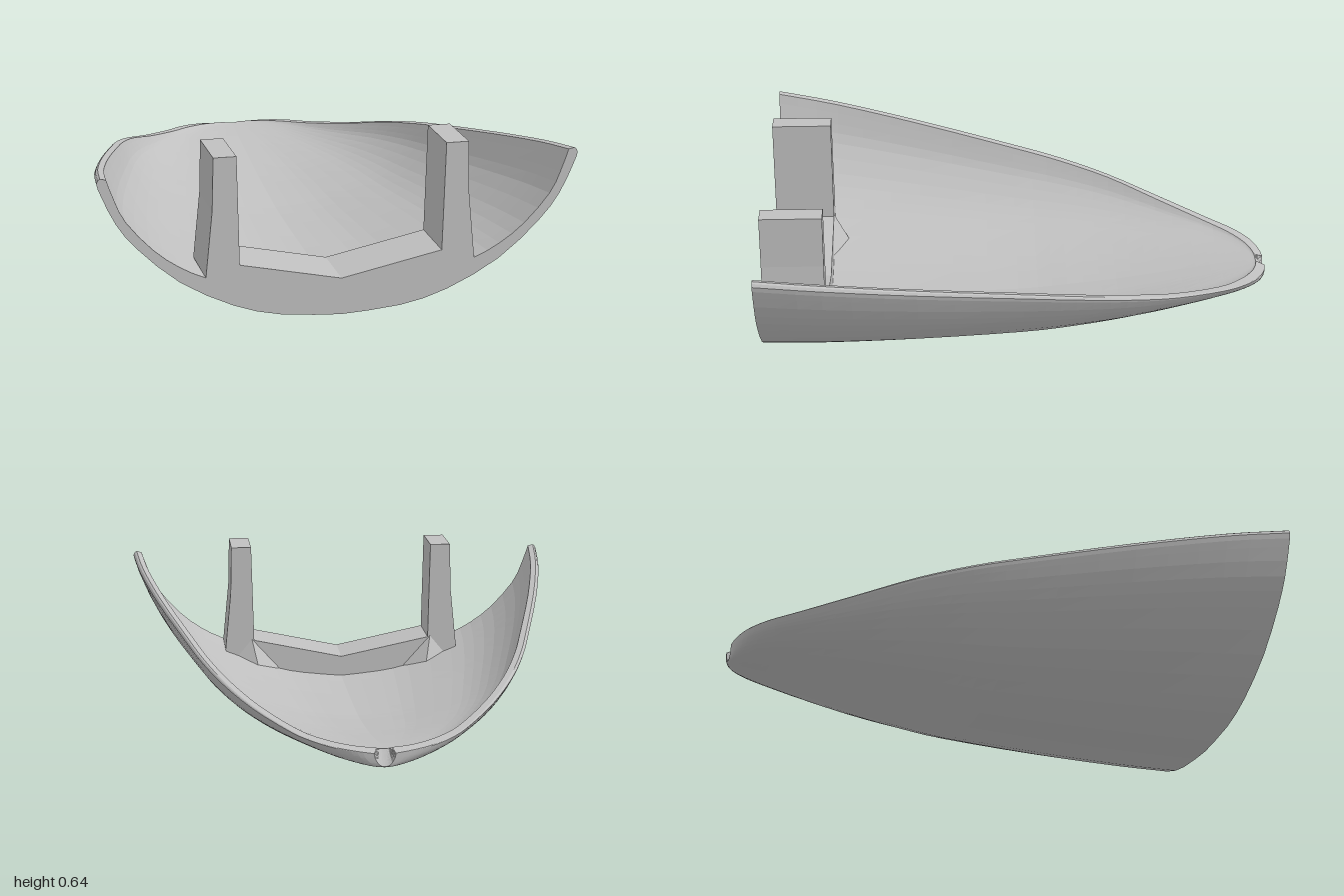
import * as THREE from 'three';

const V3 = (p) => new THREE.Vector3(...p);

// Hull stations from the open end to the nose: z, half width, rim height, keel height
const OUTER = [
  [1, 0.895, 0.59, 0.01], [0.75, 0.865, 0.55, 0.005], [0.4, 0.795, 0.487, 0.005], [0, 0.695, 0.412, 0.015],
  [-0.2, 0.64, 0.372, 0.035], [-0.4, 0.565, 0.325, 0.062], [-0.6, 0.46, 0.272, 0.093], [-0.8, 0.33, 0.228, 0.12],
  [-0.9, 0.25, 0.213, 0.127], [-0.96, 0.175, 0.203, 0.13], [-0.99, 0.1, 0.195, 0.133], [-1, 0.04, 0.188, 0.138],
];
// Matching stations of the hollow: z, half width, rim height, floor height
const INNER = [
  [1, 0.86, 0.585, 0.07], [0.75, 0.83, 0.545, 0.065], [0.4, 0.76, 0.482, 0.065], [0, 0.66, 0.407, 0.075],
  [-0.2, 0.605, 0.367, 0.093], [-0.4, 0.53, 0.322, 0.115], [-0.59, 0.427, 0.27, 0.143], [-0.78, 0.3, 0.228, 0.172],
  [-0.875, 0.215, 0.215, 0.185], [-0.93, 0.14, 0.208, 0.192], [-0.955, 0.08, 0.204, 0.195], [-0.965, 0.03, 0.202, 0.197],
];
// Half cross-sections: fraction of half width, fraction of height
const OUTER_PROFILE = [[0, 0], [0.25, 0.03], [0.45, 0.115], [0.67, 0.295], [0.84, 0.53], [0.925, 0.7], [0.98, 0.88], [1, 0.97], [0.985, 1]];
const INNER_PROFILE = [[0, 0], [0.2, 0.035], [0.35, 0.09], [0.58, 0.23], [0.7, 0.33], [0.81, 0.47], [0.92, 0.68], [0.965, 0.835], [1, 1]];

// Smoothly samples a station table
function stationSampler(table) {
  const size = new THREE.CatmullRomCurve3(table.map(([z, w, r]) => V3([z, w, r])), false, 'catmullrom');
  const base = new THREE.CatmullRomCurve3(table.map(([z, , , b]) => V3([z, b, 0])), false, 'catmullrom');
  return (t) => {
    const s = size.getPoint(t);
    return { z: s.x, w: s.y, rim: s.z, base: base.getPoint(t).y };
  };
}

// Full section from right rim to left rim
function section(profile, s, half) {
  const curve = new THREE.SplineCurve(profile.map(([u, v]) => new THREE.Vector2(u, v)));
  const pts = [];
  for (let k = -half; k <= half; k++) {
    const p = curve.getPoint(Math.abs(k) / half);
    pts.push([Math.sign(k) * p.x * s.w, s.base + p.y * (s.rim - s.base), s.z]);
  }
  return pts;
}

// Hollow shell, with closed rim, front edge and nose
function shellGeometry(rows = 33, half = 16) {
  const outer = stationSampler(OUTER), inner = stationSampler(INNER);
  const n = 2 * half + 1, m = 2 * n;
  const pos = [], index = [];
  for (let i = 0; i <= rows; i++) {
    const t = i / rows;
    const loop = [...section(OUTER_PROFILE, outer(t), half), ...section(INNER_PROFILE, inner(t), half).reverse()];
    loop.forEach((p) => pos.push(...p));
  }
  for (let i = 0; i < rows; i++) {
    for (let j = 0; j < m; j++) {
      const a = i * m + j, b = i * m + (j + 1) % m;
      index.push(a, a + m, b + m, a, b + m, b);
    }
  }
  const last = rows * m;
  for (let k = 0; k < n - 1; k++) {
    const o = k, p = k + 1, q = m - 2 - k, r = m - 1 - k;
    index.push(o, p, q, o, q, r);
    index.push(last + o, last + q, last + p, last + o, last + r, last + q);
  }
  const g = new THREE.BufferGeometry();
  g.setAttribute('position', new THREE.Float32BufferAttribute(pos, 3));
  g.setIndex(index);
  g.computeVertexNormals();
  return g;
}

// Cross beam with its two upright posts, as one extruded outline
function beamGeometry() {
  const side = [[0.38, 0.23], [0.39, 0.64], [0.475, 0.64], [0.48, 0.44], [0.505, 0.19], [0.48, 0.14], [0.3, 0.075]];
  const outline = [[0, 0.15], ...side, [0, 0.03], ...side.map(([x, y]) => [-x, y]).reverse()];
  const shape = new THREE.Shape(outline.map(([x, y]) => new THREE.Vector2(x, y)));
  const g = new THREE.ExtrudeGeometry(shape, { depth: 0.24, bevelEnabled: false });
  return g.translate(0, 0, 0.76);
}

// Small three-sided brace at the foot of a post
function braceGeometry(s) {
  const top = [s * 0.39, 0.235, 0.76], tip = [s * 0.36, 0.1, 0.68];
  const near = [s * 0.25, 0.08, 0.76], far = [s * 0.46, 0.15, 0.76];
  const faces = s > 0 ? [top, tip, near, top, far, tip] : [top, near, tip, top, tip, far];
  const g = new THREE.BufferGeometry();
  g.setAttribute('position', new THREE.Float32BufferAttribute(faces.flat(), 3));
  g.computeVertexNormals();
  return g;
}

export function createModel() {
  const group = new THREE.Group();
  group.name = 'hollowHull';
  const grey = new THREE.MeshStandardMaterial({ color: 0xc0c0c0, flatShading: true, side: THREE.DoubleSide });
  grey.name = 'light grey';
  const add = (name, geometry) => {
    const mesh = new THREE.Mesh(geometry, grey);
    mesh.name = name;
    group.add(mesh);
  };
  add('shell', shellGeometry());
  add('beamWithPosts', beamGeometry());
  add('leftBrace', braceGeometry(1));
  add('rightBrace', braceGeometry(-1));
  return group;
}
